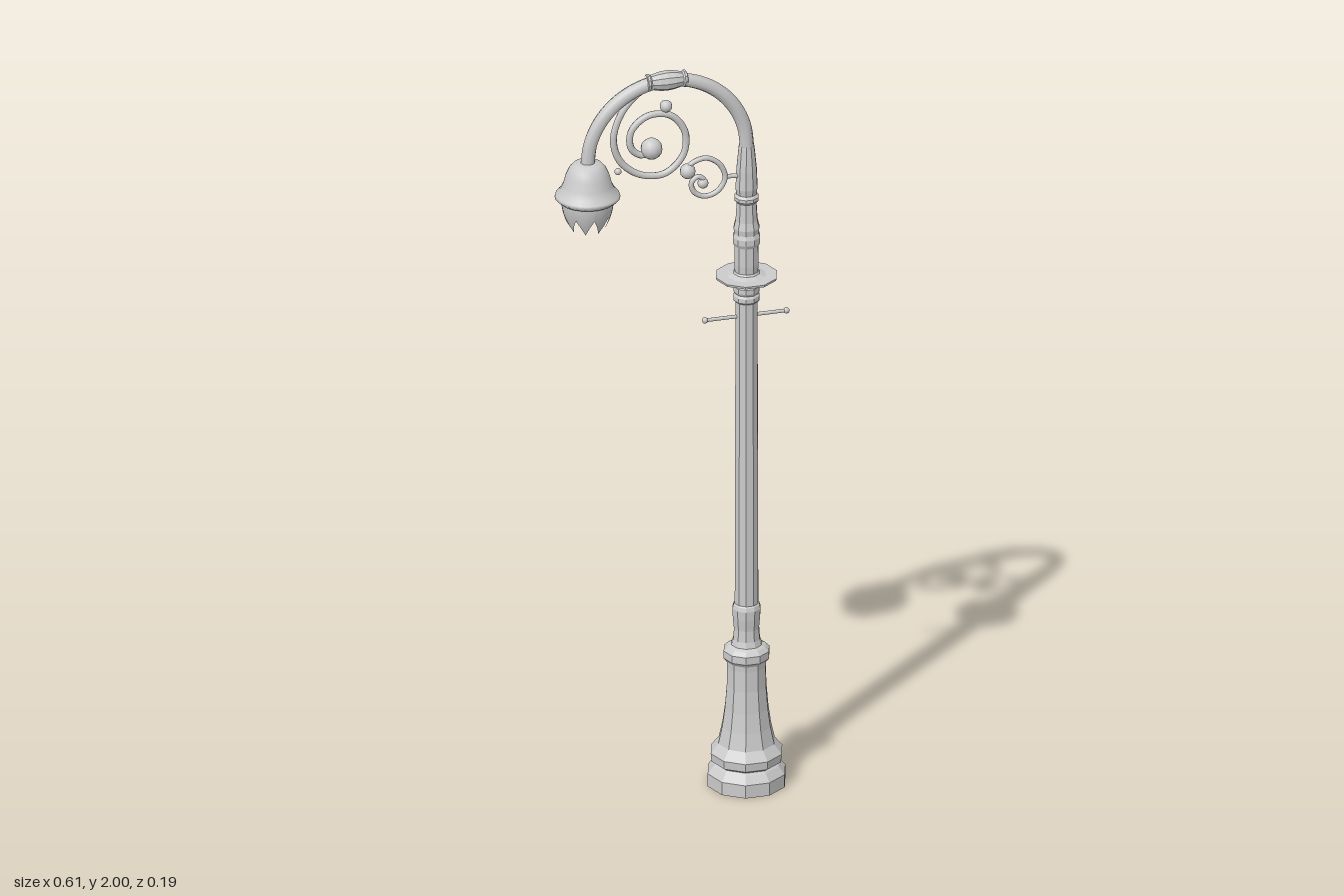
import * as THREE from 'three';

const POST_X = 0.195, LAMP_X = -0.223;
const smooth = new THREE.MeshStandardMaterial({ color: 0xcccccc });
const faceted = new THREE.MeshStandardMaterial({ color: 0xcccccc, flatShading: true });
const thin = new THREE.MeshStandardMaterial({ color: 0xcccccc, side: THREE.DoubleSide });

const v2 = (pts) => pts.map(([r, y]) => new THREE.Vector2(r, y));

export function createModel() {
  const model = new THREE.Group();

  const add = (name, geometry, material, x = 0, y = 0, z = 0) => {
    const mesh = new THREE.Mesh(geometry, material);
    mesh.name = name;
    mesh.position.set(x, y, z);
    model.add(mesh);
    return mesh;
  };
  // Ten-sided turned section of the post
  const turned = (name, pts) =>
    add(name, new THREE.LatheGeometry(v2(pts), 10, Math.PI / 2), faceted, POST_X, 0, -0.002);
  const tube = (name, pts, radius, segments, sides = 8) => {
    const curve = new THREE.CatmullRomCurve3(pts.map(([x, y]) => new THREE.Vector3(x, y, 0)));
    return add(name, new THREE.TubeGeometry(curve, segments, radius, sides), smooth);
  };
  const ball = (name, x, y, r) => add(name, new THREE.SphereGeometry(r, 12, 8), smooth, x, y);

  // Post, from the ground up
  turned('plinth', [[0, 0], [0.102, 0], [0.102, 0.035], [0.086, 0.055], [0.08, 0.06],
    [0.092, 0.068], [0.094, 0.09], [0.082, 0.105], [0.074, 0.115]]);
  turned('flaredBase', [[0.074, 0.115], [0.064, 0.16], [0.057, 0.21], [0.052, 0.27], [0.051, 0.325],
    [0.052, 0.34], [0.06, 0.35], [0.06, 0.37], [0.05, 0.38], [0.04, 0.385]]);
  turned('baseNeck', [[0.041, 0.38], [0.035, 0.4], [0.033, 0.43], [0.036, 0.46], [0.037, 0.485],
    [0.034, 0.495], [0.03, 0.5]]);
  turned('shaft', [[0.031, 0.49], [0.029, 1.36]]);
  turned('shaftRings', [[0.029, 1.335], [0.034, 1.34], [0.034, 1.352], [0.03, 1.358],
    [0.034, 1.365], [0.034, 1.378], [0.029, 1.384]]);
  turned('dishCollar', [[0.028, 1.38], [0.042, 1.386], [0.079, 1.402], [0.08, 1.408],
    [0.05, 1.408], [0.034, 1.414], [0.03, 1.42]]);
  turned('upperPost', [[0.03, 1.41], [0.032, 1.44], [0.031, 1.49], [0.036, 1.5], [0.036, 1.515],
    [0.032, 1.525], [0.034, 1.54], [0.029, 1.56], [0.026, 1.61], [0.032, 1.617],
    [0.032, 1.626], [0.026, 1.633], [0.029, 1.65], [0.027, 1.7], [0.021, 1.76], [0.017, 1.78]]);

  // Ladder bar with knobbed ends
  const bar = add('ladderBar', new THREE.CylinderGeometry(0.005, 0.005, 0.215, 8), smooth, POST_X - 0.003, 1.295);
  bar.rotation.z = Math.PI / 2;
  for (const side of [-1, 1]) ball('barKnob', POST_X - 0.003 + side * 0.107, 1.295, 0.008);

  // Arched arm, a half circle with short straight ends
  const arc = [[POST_X, 1.72]];
  for (let i = 0; i <= 12; i++) {
    const a = (i / 12) * Math.PI;
    arc.push([-0.014 + 0.209 * Math.cos(a), 1.768 + 0.207 * Math.sin(a)]);
  }
  tube('archedArm', arc, 0.0185, 48);

  // Swollen sleeve at the crown of the arch
  const sleeve = add('crownSleeve', new THREE.LatheGeometry(v2([[0.018, -0.053], [0.022, -0.051],
    [0.022, -0.045], [0.019, -0.041], [0.024, -0.02], [0.026, 0], [0.024, 0.02],
    [0.019, 0.041], [0.022, 0.045], [0.022, 0.051], [0.018, 0.053]]), 10), faceted, -0.016, 1.974);
  sleeve.rotation.z = Math.PI / 2;

  // Scrollwork under the arch
  tube('largeScroll', [[-0.07, 1.963], [-0.11, 1.93], [-0.14, 1.886], [-0.155, 1.825], [-0.137, 1.765],
    [-0.085, 1.722], [-0.02, 1.717], [0.028, 1.762], [0.033, 1.825], [-0.005, 1.876],
    [-0.065, 1.882], [-0.108, 1.845], [-0.108, 1.797], [-0.08, 1.775], [-0.055, 1.785]], 0.009, 80);
  ball('largeScrollBud', -0.055, 1.79, 0.028);
  ball('upperBud', -0.017, 1.903, 0.016);
  ball('lowerBud', -0.143, 1.738, 0.009);
  tube('smallScroll', [[0.03, 1.715], [0.055, 1.738], [0.09, 1.745], [0.125, 1.722], [0.138, 1.683],
    [0.118, 1.65], [0.085, 1.64], [0.057, 1.655], [0.05, 1.682], [0.068, 1.697], [0.084, 1.685]], 0.007, 56);
  ball('smallScrollBud', 0.08, 1.677, 0.014);
  ball('joiningBud', 0.04, 1.715, 0.02);
  tube('scrollLink', [[0.135, 1.688], [0.18, 1.685]], 0.006, 2);

  // Bell-shaped lamp hood
  add('lampHood', new THREE.LatheGeometry(v2([[0.055, 1.675], [0.075, 1.672], [0.083, 1.68],
    [0.081, 1.687], [0.07, 1.698], [0.062, 1.715], [0.056, 1.738], [0.047, 1.758],
    [0.036, 1.77], [0.018, 1.774], [0, 1.774]]), 24), thin, LAMP_X);

  // Tulip shade whose lower edge is cut into pointed petals
  const petals = 8, perPetal = 4;
  const shade = new THREE.CylinderGeometry(1, 1, 1, petals * perPetal, 5, true);
  const pos = shade.attributes.position;
  for (let i = 0; i < pos.count; i++) {
    const angle = Math.atan2(pos.getX(i), pos.getZ(i));
    const step = Math.round(((angle + 2 * Math.PI) / (2 * Math.PI)) * petals * perPetal) % perPetal;
    const tip = 1 - Math.abs(step - 2) / 2;
    const drop = (0.5 - pos.getY(i)) * (0.042 + 0.045 * tip);
    const radius = 0.067 - 0.024 * (drop / 0.087) ** 2;
    pos.setXYZ(i, radius * Math.sin(angle), 1.678 - drop, radius * Math.cos(angle));
  }
  shade.computeVertexNormals();
  add('petalShade', shade, thin, LAMP_X);

  return model;
}
